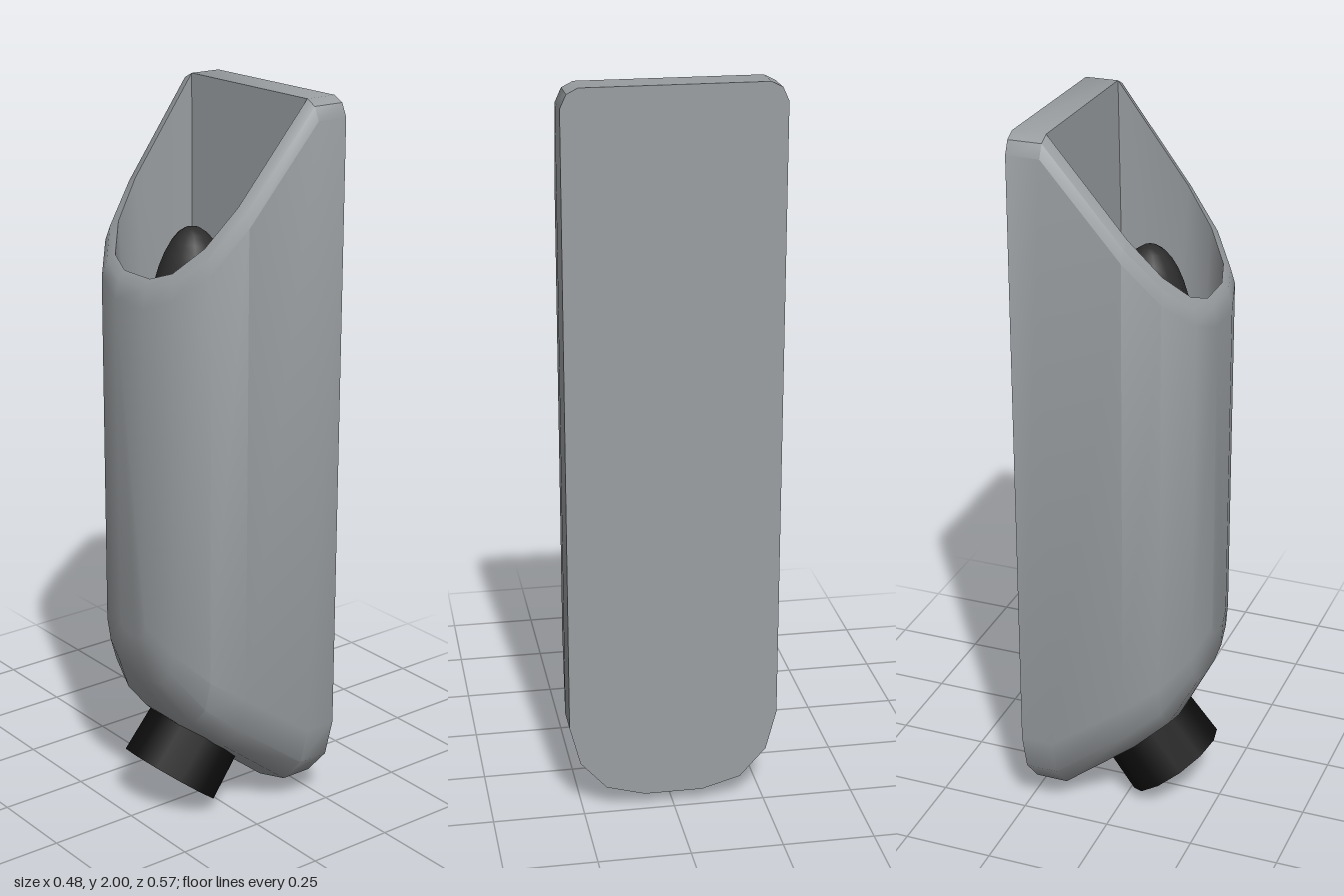
import * as THREE from 'three';
import { toCreasedNormals } from 'three/addons/utils/BufferGeometryUtils.js';

const grey = new THREE.MeshStandardMaterial({ color: 0x9a9ea1, side: THREE.DoubleSide });
grey.name = 'grey shell';
const black = new THREE.MeshStandardMaterial({ color: 0x0e0e0e });
black.name = 'black';
const charcoal = new THREE.MeshStandardMaterial({ color: 0x2c2c2c });
charcoal.name = 'charcoal';

const FLOOR_Y = 1.3;

// Slices from the flat back (+x) to the rounded nose (-x):
// x, half width, bottom, top of the side, rim [x, z], cavity floor [x, z]
const slices = [
  { x: 0.237, w: 0.286, b: 0.04, t: 1.95, rim: [0.237, 0.24] },
  { x: 0.147, w: 0.286, b: 0.04, t: 1.95, rim: [0.147, 0.24], floor: [0.12, 0.203] },
  { x: -0.055, w: 0.265, b: 0.2, t: 1.7, rim: [-0.055, 0.22], floor: [-0.04, 0.2] },
  { x: -0.148, w: 0.23, b: 0.29, t: 1.59, rim: [-0.135, 0.187], floor: [-0.12, 0.175] },
  { x: -0.213, w: 0.155, b: 0.42, t: 1.515, rim: [-0.19, 0.125], floor: [-0.172, 0.115] },
  { x: -0.238, w: 0.06, b: 0.55, t: 1.48, rim: [-0.21, 0.055], floor: [-0.192, 0.05] },
];

// The slanted cut across the top
const rimY = (x) => 2 - 1.25 * Math.max(0, 0.147 - x);

function outline({ x, w, b, t, rim }) {
  const s = w / 0.286;
  const top = [rim[0], rimY(rim[0]), rim[1]];
  const half = [
    top,
    [x * 0.6 + rim[0] * 0.4, t + (top[1] - t) * 0.7, w + (rim[1] - w) * 0.35],
    [x, t, w],
    [x, b + 0.22 * s, w],
    [x, b + 0.11 * s, 0.9 * w],
    [x, b + 0.03 * s, 0.65 * w],
    [x, b, 0.28 * w],
  ];
  return [...half, ...half.slice().reverse().map(([px, py, pz]) => [px, py, -pz])];
}

function meshFrom(triangles, material, name, crease) {
  let geo = new THREE.BufferGeometry();
  geo.setAttribute('position', new THREE.Float32BufferAttribute(triangles.flat(), 3));
  geo = toCreasedNormals(geo, crease);
  const mesh = new THREE.Mesh(geo, material);
  mesh.name = name;
  return mesh;
}

const quad = (out, a, b, c, d) => out.push(a, b, c, a, c, d);
const fan = (out, pts) => {
  for (let i = 1; i < pts.length - 1; i++) out.push(pts[0], pts[i], pts[i + 1]);
};

export function createModel() {
  const group = new THREE.Group();
  group.name = 'wallHolder';
  const rings = slices.map(outline);
  const n = rings[0].length;

  // Outer shell, lofted slice by slice
  const shell = [];
  for (let k = 0; k < rings.length - 1; k++) {
    const last = k === 0 ? n : n - 1; // only the back slab is closed on top
    for (let i = 0; i < last; i++) {
      const j = (i + 1) % n;
      quad(shell, rings[k][i], rings[k + 1][i], rings[k + 1][j], rings[k][j]);
    }
  }
  fan(shell, rings[0]);
  const nose = rings[rings.length - 1];
  fan(shell, nose.slice(2, n - 2).reverse());
  for (let i = 0; i < 2; i++) quad(shell, nose[i], nose[n - 1 - i], nose[n - 2 - i], nose[i + 1]);
  group.add(meshFrom(shell, grey, 'outerShell', 0.6));

  // Cavity walls, tapering down to the floor
  const open = slices.slice(1);
  const loop = (key, y) => {
    const side = open.map((s) => [s[key][0], y(s[key][0]), s[key][1]]);
    return [...side, ...side.slice().reverse().map(([x, h, z]) => [x, h, -z])];
  };
  const upper = loop('rim', rimY);
  const lower = loop('floor', () => FLOOR_Y);
  const walls = [];
  upper.forEach((p, i) => {
    const j = (i + 1) % upper.length;
    quad(walls, p, lower[i], lower[j], upper[j]);
  });
  group.add(meshFrom(walls, grey, 'cavityWalls', 0.6));

  // Black cavity floor
  const floor = [];
  fan(floor, lower.slice().reverse());
  group.add(meshFrom(floor, black, 'cavityFloor', 0.1));

  // Pointed dome standing in the cavity
  const dome = new THREE.Mesh(
    new THREE.SphereGeometry(0.125, 12, 10, 0, Math.PI * 2, 0, Math.PI / 2), charcoal);
  dome.name = 'dome';
  dome.scale.y = 2.84;
  dome.position.set(-0.033, FLOOR_Y, 0);
  group.add(dome);

  // Tilted nozzle under the slanted base
  const length = 0.24;
  const nozzle = new THREE.Mesh(new THREE.CylinderGeometry(0.138, 0.146, length, 12), black);
  nozzle.name = 'nozzle';
  const tilt = 0.665;
  nozzle.rotation.z = -tilt;
  nozzle.position.set(
    -0.115 + Math.sin(tilt) * length / 2, 0.092 + Math.cos(tilt) * length / 2, 0);
  group.add(nozzle);

  return group;
}
